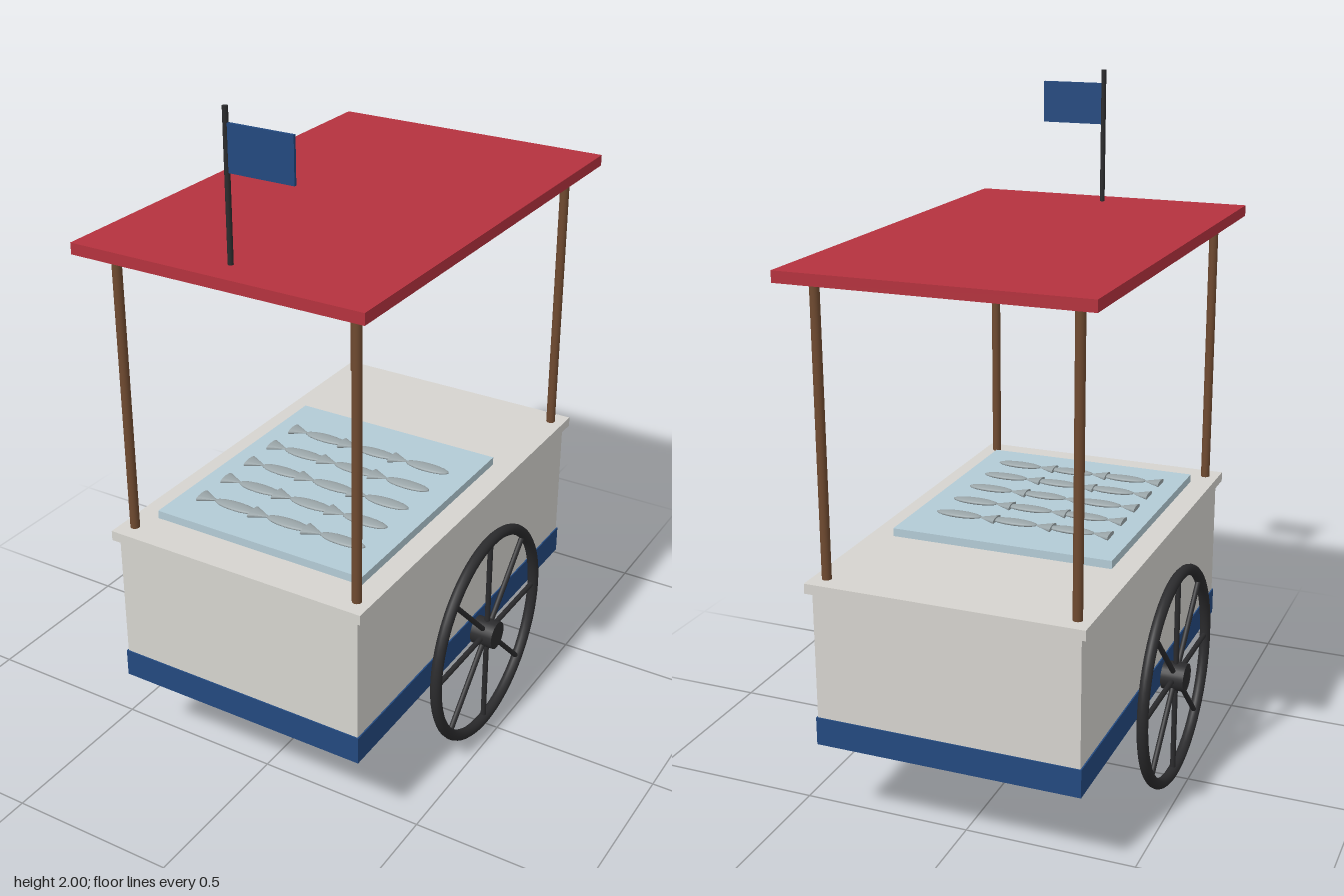
import * as THREE from 'three';

const mat = (color) => new THREE.MeshStandardMaterial({ color });

export function createModel() {
  const cart = new THREE.Group();
  cart.name = 'cart';
  const blue = mat(0x23497f), red = mat(0xb5323e), cream = mat(0xd6d4cf);
  const wood = mat(0x6f4a30), dark = mat(0x2b2b2d), ice = mat(0xb3cbd6), silver = mat(0x9aa5a8);

  const add = (parent, name, geometry, material, x = 0, y = 0, z = 0) => {
    const mesh = new THREE.Mesh(geometry, material);
    mesh.name = name;
    mesh.position.set(x, y, z);
    parent.add(mesh);
    return mesh;
  };
  const box = (name, w, y0, y1, d, material, x = 0, z = 0) =>
    add(cart, name, new THREE.BoxGeometry(w, y1 - y0, d), material, x, (y0 + y1) / 2, z);

  // Body, counter and display tray
  box('base', 0.778, 0.26, 0.342, 1.264, blue);
  box('body', 0.77, 0.342, 0.716, 1.256, cream);
  box('counter', 0.802, 0.716, 0.745, 1.286, cream);
  box('iceTray', 0.664, 0.745, 0.769, 0.764, ice, 0, 0.138);

  // Canopy on four posts
  box('canopy', 0.866, 1.57, 1.602, 1.354, red);
  const postGeo = new THREE.CylinderGeometry(0.0135, 0.0135, 0.83, 16);
  for (const x of [-0.36, 0.36])
    for (const z of [-0.59, 0.59]) add(cart, 'post', postGeo, wood, x, 1.157, z);

  // Flag
  add(cart, 'flagPole', new THREE.CylinderGeometry(0.0075, 0.0075, 0.4, 12), dark, 0, 1.8, 0.59);
  box('flag', 0.19, 1.837, 1.96, 0.008, blue, 0.098, 0.59);

  // Fish laid in rows: flattened body with a flared tail
  const bodyGeo = new THREE.SphereGeometry(1, 16, 10).scale(0.072, 0.008, 0.022);
  const tailGeo = new THREE.ConeGeometry(0.03, 0.058, 12).rotateZ(-Math.PI / 2).scale(1, 0.32, 1);
  for (let row = 0; row < 5; row++) {
    for (let col = -1; col <= 1; col++) {
      const fish = new THREE.Group();
      fish.name = 'fish';
      fish.position.set(col * 0.175, 0.774, 0.395 - row * 0.119);
      add(fish, 'fishBody', bodyGeo, silver, 0.022);
      add(fish, 'fishTail', tailGeo, silver, -0.068);
      cart.add(fish);
    }
  }

  // Spoked wheels
  const rimGeo = new THREE.TorusGeometry(0.314, 0.0165, 12, 64).rotateY(Math.PI / 2);
  const hubGeo = new THREE.CylinderGeometry(0.042, 0.042, 0.068, 24).rotateZ(Math.PI / 2);
  const spokeGeo = new THREE.CylinderGeometry(0.008, 0.008, 0.31, 10).translate(0, 0.155, 0);
  for (const side of [-1, 1]) {
    const wheel = new THREE.Group();
    wheel.name = side > 0 ? 'leftWheel' : 'rightWheel';
    wheel.position.set(side * 0.452, 0.331, 0);
    add(wheel, 'rim', rimGeo, dark);
    add(wheel, 'hub', hubGeo, dark);
    for (let i = 0; i < 8; i++) add(wheel, 'spoke', spokeGeo, dark).rotation.x = (i * Math.PI) / 4;
    cart.add(wheel);
  }
  return cart;
}
